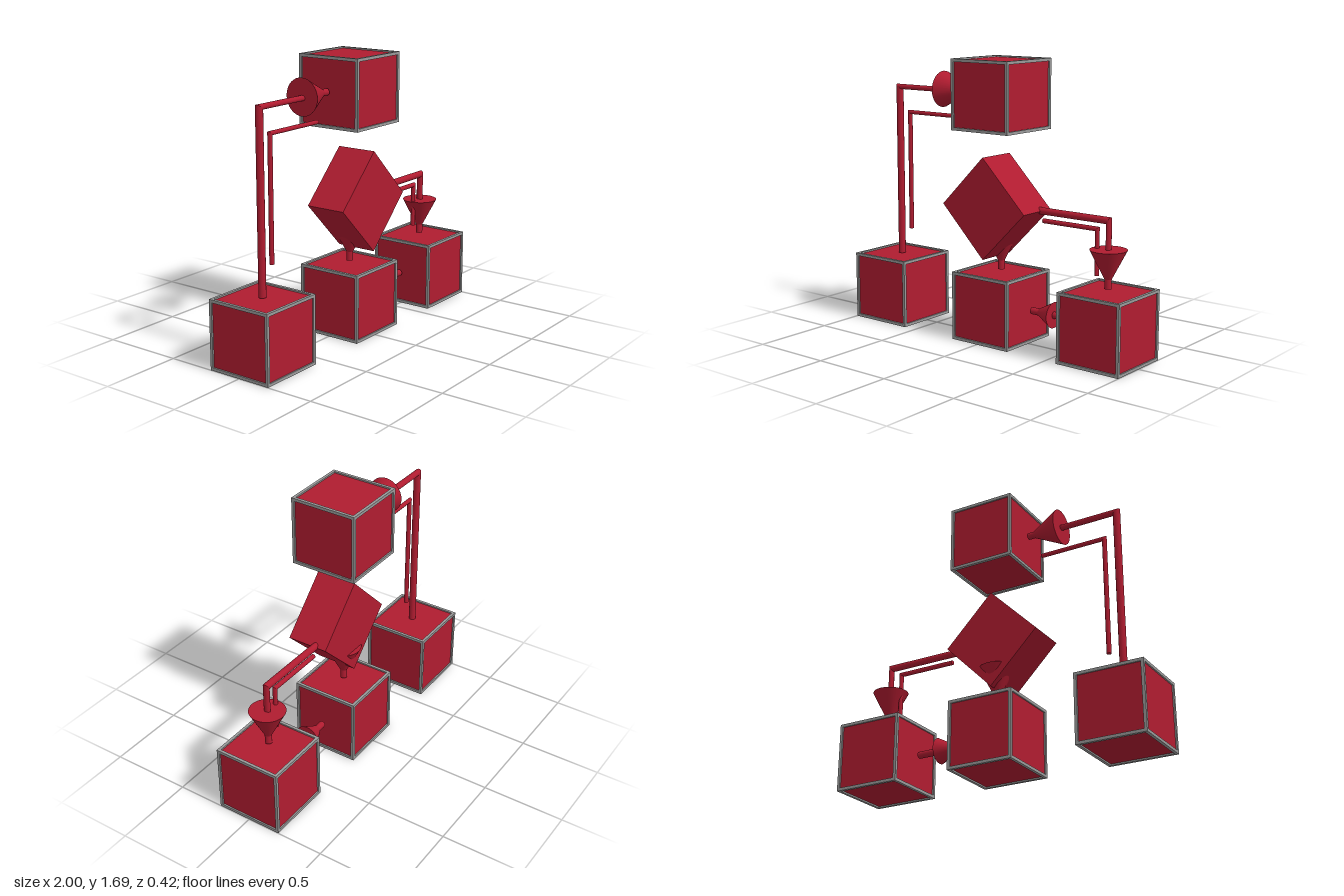
import * as THREE from 'three';

const red = new THREE.MeshStandardMaterial({ color: 0xb01c30 });
const grey = new THREE.MeshStandardMaterial({ color: 0x999999 });
const V = (x, y) => new THREE.Vector3(x, y, 0);
const UP = new THREE.Vector3(0, 1, 0);

function add(parent, name, geometry, material = red) {
  const mesh = new THREE.Mesh(geometry, material);
  mesh.name = name;
  parent.add(mesh);
  return mesh;
}

// Round rod or cone running from a to b
function rod(a, b, ra, rb = ra, segments = 16) {
  const dir = b.clone().sub(a);
  const g = new THREE.CylinderGeometry(rb, ra, dir.length(), segments);
  g.applyQuaternion(new THREE.Quaternion().setFromUnitVectors(UP, dir.normalize()));
  const mid = a.clone().add(b).multiplyScalar(0.5);
  return g.translate(mid.x, mid.y, mid.z);
}

// Right-angled pipe with a mitred corner; the second leg is flattened in the plane of the bend
function elbow(parent, name, a, corner, b, r, flat) {
  const group = new THREE.Group();
  group.name = name;
  const da = a.clone().sub(corner).normalize();
  const db = b.clone().sub(corner).normalize();
  const legs = [[a, da, db, flat, 1], [b, db, da, 1 / flat, flat]];
  legs.forEach(([end, along, across, slope, squash], i) => {
    const g = rod(corner, end, r);
    const p = g.attributes.position;
    const v = new THREE.Vector3();
    for (let k = 0; k < p.count; k++) {
      v.fromBufferAttribute(p, k).sub(corner);
      const offset = v.dot(across);
      v.addScaledVector(across, offset * (squash - 1));
      if (v.dot(along) < 1e-4) v.addScaledVector(along, offset * squash * slope);
      v.add(corner);
      p.setXYZ(k, v.x, v.y, v.z);
    }
    add(group, i ? 'secondLeg' : 'firstLeg', g);
  });
  parent.add(group);
}

// Cube with a thin bar along each of its twelve edges
function framedBox(parent, name, x, y) {
  const group = new THREE.Group();
  group.name = name;
  group.position.set(x, y, 0);
  const h = 0.2, t = 0.018;
  add(group, 'cube', new THREE.BoxGeometry(2 * h, 2 * h, 2 * h));
  for (const u of [-h, h]) for (const w of [-h, h]) {
    add(group, 'edgeBarX', new THREE.BoxGeometry(2 * h + t, t, t), grey).position.set(0, u, w);
    add(group, 'edgeBarY', new THREE.BoxGeometry(t, 2 * h + t, t), grey).position.set(u, 0, w);
    add(group, 'edgeBarZ', new THREE.BoxGeometry(t, t, 2 * h + t), grey).position.set(u, w, 0);
  }
  parent.add(group);
}

// Cone with a short stub through its point
function arrowHead(parent, name, base, tip, stubEnd, r) {
  const group = new THREE.Group();
  group.name = name;
  add(group, 'cone', rod(base, tip, r, 0, 32));
  add(group, 'stub', rod(base, stubEnd, 0.021));
  parent.add(group);
}

export function createModel() {
  const model = new THREE.Group();
  model.name = 'flowDiagram';

  // Step boxes
  framedBox(model, 'leftBox', -0.79, 0.215);
  framedBox(model, 'middleBox', 0.02, 0.215);
  framedBox(model, 'rightBox', 0.79, 0.215);
  framedBox(model, 'topBox', 0.02, 1.485);

  // Decision block
  const diamond = add(model, 'decisionDiamond', new THREE.BoxGeometry(0.43, 0.43, 0.255));
  diamond.position.set(0.022, 0.825, 0.05);
  diamond.rotation.z = Math.PI / 4;

  // Left box to top box
  elbow(model, 'leftPipe', V(-0.79, 0.42), V(-0.79, 1.485), V(-0.42, 1.485), 0.022, 0.73);
  arrowHead(model, 'leftArrow', V(-0.425, 1.49), V(-0.2, 1.49), V(-0.2, 1.49), 0.11);
  elbow(model, 'leftInnerPipe', V(-0.705, 0.59), V(-0.705, 1.33), V(-0.29, 1.33), 0.014, 0.9);

  // Diamond to right box
  elbow(model, 'rightPipe', V(0.3, 0.825), V(0.787, 0.825), V(0.787, 0.65), 0.021, 0.68);
  arrowHead(model, 'rightArrow', V(0.787, 0.66), V(0.787, 0.45), V(0.787, 0.435), 0.108);
  elbow(model, 'rightInnerPipe', V(0.335, 0.768), V(0.71, 0.768), V(0.71, 0.5), 0.014, 0.95);

  // Diamond to middle box, and right box to middle box
  arrowHead(model, 'downArrow', V(0.022, 0.66), V(0.022, 0.45), V(0.022, 0.435), 0.108);
  arrowHead(model, 'returnArrow', V(0.415, 0.215), V(0.27, 0.215), V(0.255, 0.215), 0.078);
  add(model, 'returnShaft', rod(V(0.56, 0.215), V(0.41, 0.215), 0.021));

  return model;
}
